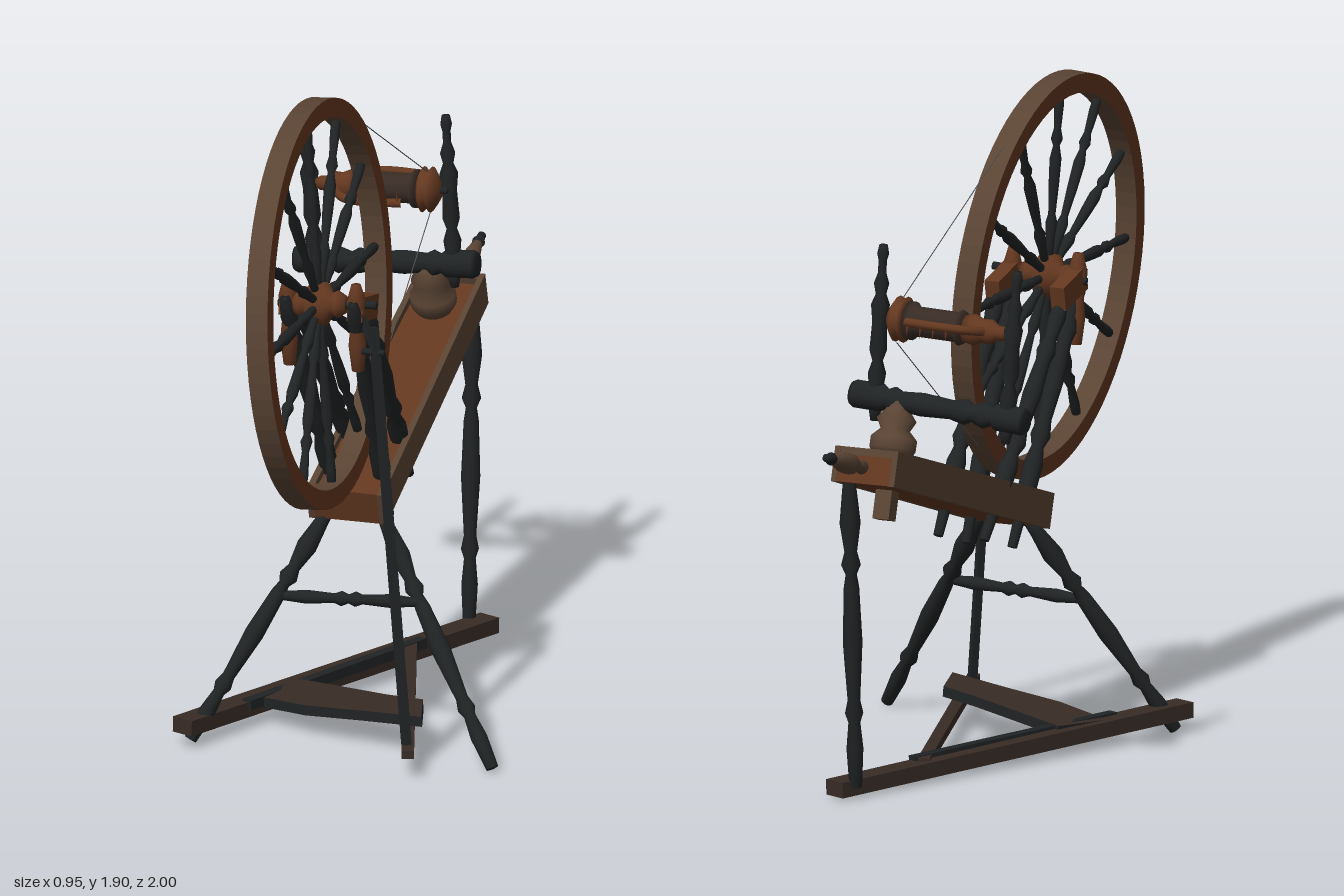
import * as THREE from 'three';

const paint = (name, color) => {
  const m = new THREE.MeshStandardMaterial({ color });
  m.name = name;
  return m;
};
const V = (x, y, z) => new THREE.Vector3(x, y, z);
const UP = V(0, 1, 0);

export function createModel() {
  const black = paint('blackened wood', 0x202324);
  const brown = paint('red brown wood', 0x643820);
  const worn = paint('worn wood', 0x5a4434);
  const aged = paint('aged dark wood', 0x382b25);
  const thread = paint('thread', 0x555555);
  const model = new THREE.Group();

  const add = (name, geometry, material, parent = model) => {
    const mesh = new THREE.Mesh(geometry, material);
    mesh.name = name;
    parent.add(mesh);
    return mesh;
  };

  // Lathe-turned part from a to b; profile is [fraction of length, radius]
  const turned = (name, a, b, profile, material, parent = model, sides = 12) => {
    const dir = b.clone().sub(a), length = dir.length();
    const pts = profile.map(([t, r]) => new THREE.Vector2(r, t * length));
    pts.unshift(new THREE.Vector2(0, pts[0].y));
    pts.push(new THREE.Vector2(0, pts[pts.length - 1].y));
    const mesh = add(name, new THREE.LatheGeometry(pts, sides), material, parent);
    mesh.position.copy(a);
    mesh.quaternion.setFromUnitVectors(UP, dir.normalize());
    return mesh;
  };

  // Square bar from a to b
  const bar = (name, a, b, w, h, material) => {
    const mesh = add(name, new THREE.BoxGeometry(w, h, a.distanceTo(b)), material);
    mesh.position.copy(a).lerp(b, 0.5);
    mesh.lookAt(b);
    return mesh;
  };

  const legProfile = [[0, 0.018], [0.12, 0.024], [0.2, 0.017], [0.23, 0.026], [0.27, 0.018], [0.45, 0.028],
    [0.62, 0.022], [0.66, 0.016], [0.69, 0.028], [0.73, 0.018], [0.82, 0.03], [0.93, 0.02], [1, 0.017]];
  const postProfile = [[0, 0.014], [0.12, 0.017], [0.16, 0.026], [0.3, 0.028], [0.36, 0.018], [0.4, 0.029],
    [0.46, 0.02], [0.6, 0.027], [0.74, 0.021], [0.78, 0.028], [0.83, 0.018], [0.92, 0.025], [1, 0.015]];
  const spokeProfile = [[0, 0.012], [0.12, 0.013], [0.22, 0.018], [0.27, 0.011], [0.45, 0.016], [0.6, 0.018],
    [0.68, 0.01], [0.72, 0.018], [0.78, 0.011], [0.92, 0.015], [1, 0.013]];

  // Drive wheel: rim, spokes and hub, leaning slightly to the right
  const wheel = new THREE.Group();
  wheel.name = 'driveWheel';
  wheel.position.set(-0.09, 1.31, 0.41);
  wheel.rotation.z = 0.07;
  model.add(wheel);
  const ring = new THREE.Shape().absarc(0, 0, 0.583, 0, Math.PI * 2);
  ring.holes.push(new THREE.Path().absarc(0, 0, 0.528, 0, Math.PI * 2, true));
  const rimGeometry = new THREE.ExtrudeGeometry(ring, { depth: 0.064, bevelEnabled: false, curveSegments: 36 });
  rimGeometry.translate(0, 0, -0.032).rotateY(Math.PI / 2);
  add('rim', rimGeometry, [brown, worn], wheel);
  for (let i = 0; i < 12; i++) {
    const a = i * Math.PI / 6, c = Math.cos(a), s = Math.sin(a);
    turned('spoke', V(0, 0.045 * s, 0.045 * c), V(0, 0.535 * s, 0.535 * c), spokeProfile, black, wheel, 8);
  }
  turned('hub', V(-0.08, 0, 0), V(0.08, 0, 0),
    [[0, 0.025], [0.15, 0.04], [0.25, 0.032], [0.36, 0.062], [0.64, 0.062], [0.75, 0.032], [0.85, 0.04], [1, 0.025]], brown, wheel, 16);
  turned('axle', V(-0.12, 0, 0), V(0.17, 0, 0), [[0, 0.012], [1, 0.012]], black, wheel, 8);

  // Sloping bench: tapered tray with raised edges
  const bench = new THREE.Group();
  bench.name = 'bench';
  bench.position.set(-0.054, 0.827, -0.245);
  bench.rotation.x = 0.31;
  model.add(bench);
  const tapered = (w, h, l, x, y, z) => {
    const g = new THREE.BoxGeometry(w, h, l).translate(x, y, z);
    const p = g.attributes.position;
    for (let i = 0; i < p.count; i++) p.setX(i, p.getX(i) * (1 + 0.14 * p.getZ(i)));
    g.computeVertexNormals();
    return g;
  };
  add('benchBoard', tapered(0.208, 0.08, 1.075, 0, -0.01, 0), brown, bench);
  for (const s of [-1, 1]) {
    add('benchSideEdge', tapered(0.018, 0.102, 1.079, s * 0.097, 0, 0), worn, bench);
    add('benchEndEdge', tapered(0.18, 0.022, 0.025, 0, 0.04, s * 0.525), s > 0 ? brown : worn, bench);
  }

  // Paired wheel posts with pegs through the bench, and bearing blocks on top
  for (const [top, bottom] of [[-0.18, -0.125], [0.022, 0.018]]) {
    turned('wheelPost', V(bottom, 0.59, 0.09), V(top, 1.33, 0.45), postProfile, black);
    turned('rearWheelPost', V(bottom, 0.65, -0.1), V(top, 1.27, 0.32), postProfile, black);
    turned('postHead', V(top, 1.12, 0.4), V(top, 1.38, 0.42),
      [[0, 0.018], [0.3, 0.026], [0.5, 0.02], [0.8, 0.028], [1, 0.014]], brown);
    bar('bearingBlock', V(top, 1.275, 0.28), V(top, 1.31, 0.43), 0.045, 0.07, brown);
  }

  // Three legs and the stretcher
  turned('frontLeftLeg', V(0.45, 0.008, 0.5), V(0.03, 0.65, 0.22), legProfile, black);
  turned('frontRightLeg', V(-0.44, 0.008, 0.51), V(-0.11, 0.65, 0.22), legProfile, black);
  turned('backLeg', V(0.03, 0.03, -0.635), V(0.015, 0.98, -0.715), legProfile, black);
  turned('stretcher', V(-0.235, 0.4, 0.33), V(0.18, 0.42, 0.33),
    [[0, 0.012], [0.2, 0.02], [0.4, 0.014], [0.45, 0.022], [0.5, 0.013], [0.55, 0.022], [0.6, 0.014], [0.8, 0.02], [1, 0.012]], black);

  // Floor beam, treadle frame, foot board and footman
  bar('floorBeam', V(-0.45, 0.06, 0.555), V(0.08, 0.027, -0.67), 0.07, 0.045, aged);
  bar('treadlePivot', V(-0.325, 0.068, 0.34), V(-0.025, 0.055, -0.37), 0.03, 0.03, black);
  bar('treadleBar', V(0.24, 0.068, 0.63), V(-0.06, 0.055, -0.37), 0.035, 0.025, aged);
  const outline = [[-0.26, 0.11], [-0.1, 0.18], [0.06, 0.25], [0.18, 0.29], [0.225, 0.45], [0.03, 0.4], [-0.15, 0.36], [-0.34, 0.27]];
  const boardGeometry = new THREE.ExtrudeGeometry(new THREE.Shape(outline.map(([x, z]) => new THREE.Vector2(x, z))),
    { depth: 0.03, bevelEnabled: false });
  boardGeometry.rotateX(Math.PI / 2).rotateZ(0.085);
  add('footBoard', boardGeometry, [aged, black]).position.y = 0.103;
  bar('footman', V(0.22, 0.08, 0.577), V(0.075, 1.26, 0.425), 0.02, 0.028, black);
  bar('crank', V(0.03, 1.3, 0.41), V(0.08, 1.2, 0.435), 0.016, 0.016, black);
  turned('crankPin', V(0.045, 1.19, 0.435), V(0.11, 1.19, 0.435), [[0, 0.01], [1, 0.01]], black, model, 8);

  // Tilted peg through the bench carrying the cross bar
  turned('crossBarPeg', V(-0.055, 0.98, -0.58), V(-0.055, 1.13, -0.525),
    [[0, 0.052], [0.15, 0.066], [0.35, 0.066], [0.5, 0.042], [0.68, 0.057], [0.85, 0.036], [1, 0.03]], worn, model, 16);
  bar('pegTenon', V(-0.055, 0.81, -0.63), V(-0.055, 1.02, -0.565), 0.05, 0.05, worn);
  turned('crossBar', V(-0.45, 1.108, -0.525), V(0.09, 1.143, -0.525),
    [[0, 0.034], [0.02, 0.04], [0.17, 0.038], [0.19, 0.025], [0.24, 0.039], [0.31, 0.025], [0.35, 0.037], [0.43, 0.028],
      [0.6, 0.034], [0.72, 0.028], [0.76, 0.038], [0.8, 0.028], [0.83, 0.04], [0.98, 0.04], [1, 0.034]], black, model, 16);

  // Upright maidens holding the flyer
  const maidenProfile = [[0, 0.012], [0.06, 0.018], [0.14, 0.018], [0.27, 0.026], [0.34, 0.015], [0.4, 0.025], [0.56, 0.021],
    [0.66, 0.027], [0.72, 0.015], [0.78, 0.022], [0.84, 0.012], [0.91, 0.012], [0.95, 0.017], [1, 0.012]];
  turned('rightMaiden', V(-0.385, 1.04, -0.525), V(-0.42, 1.54, -0.52), maidenProfile, black);
  turned('leftMaiden', V(0.022, 1.07, -0.525), V(-0.004, 1.58, -0.52), maidenProfile, black);

  // Flyer, bobbin and whorl
  const flyer = new THREE.Group();
  flyer.name = 'flyer';
  flyer.position.set(-0.2, 1.357, -0.495);
  flyer.rotation.set(0.18, 0, 0.04);
  model.add(flyer);
  turned('spindle', V(-0.21, 0, 0), V(0.21, 0, 0), [[0, 0.01], [1, 0.01]], black, flyer, 8);
  turned('flyerNose', V(-0.18, 0, 0), V(-0.05, 0, 0),
    [[0, 0.013], [0.1, 0.02], [0.25, 0.022], [0.4, 0.036], [0.6, 0.034], [0.8, 0.045], [1, 0.04]], brown, flyer);
  turned('bobbin', V(-0.05, 0, 0), V(0.13, 0, 0),
    [[0, 0.042], [0.1, 0.052], [0.14, 0.043], [0.84, 0.043], [0.9, 0.055], [1, 0.055]], aged, flyer, 16);
  turned('whorl', V(0.13, 0, 0), V(0.19, 0, 0),
    [[0, 0.05], [0.15, 0.066], [0.35, 0.05], [0.55, 0.066], [0.8, 0.045], [1, 0.025]], brown, flyer, 16);
  const arch = new THREE.CatmullRomCurve3([V(0.1, 0, -0.088), V(0, 0, -0.095), V(-0.08, 0, -0.075), V(-0.12, 0, 0),
    V(-0.08, 0, 0.075), V(0, 0, 0.095), V(0.1, 0, 0.088)]);
  add('flyerArms', new THREE.TubeGeometry(arch, 28, 0.013, 8), brown, flyer);
  for (const s of [-1, 1]) {
    for (let i = 0; i < 4; i++) {
      const hook = add('flyerHook', new THREE.ConeGeometry(0.005, 0.035, 5), brown, flyer);
      hook.position.set(-0.03 + i * 0.04, s * 0.022, s * 0.094);
      if (s < 0) hook.rotation.x = Math.PI;
    }
  }

  // Turned handle at the back end of the bench
  turned('rearHandle', V(-0.045, 0.985, -0.75), V(-0.045, 1.053, -0.96),
    [[0, 0.022], [0.15, 0.016], [0.25, 0.018], [0.4, 0.03], [0.6, 0.031], [0.8, 0.022], [1, 0.014]], worn);
  turned('handleTip', V(-0.045, 1.05, -0.95), V(-0.045, 1.064, -1),
    [[0, 0.013], [0.35, 0.019], [0.6, 0.013], [1, 0.012]], black);

  // Drive band from wheel to whorl
  for (const [a, b] of [[V(-0.12, 1.76, 0.04), V(-0.045, 1.42, -0.48)], [V(-0.06, 0.89, 0.01), V(-0.045, 1.3, -0.52)]]) {
    turned('driveBand', a, b, [[0, 0.0015], [1, 0.0015]], thread, model, 5);
  }
  return model;
}
